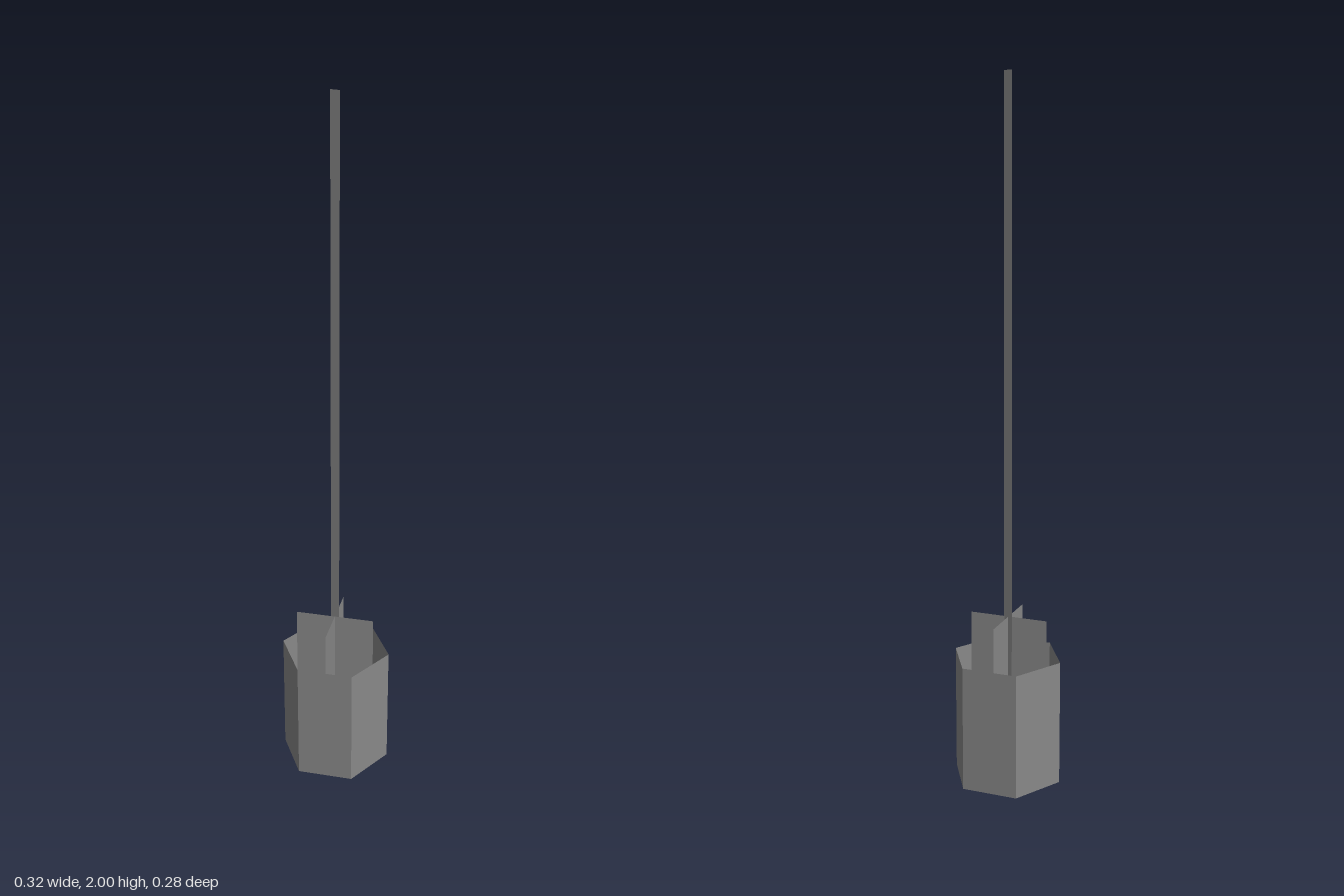
import * as THREE from 'three';

export function createModel() {
  const group = new THREE.Group();
  const material = new THREE.MeshStandardMaterial({
    color: 0x888888, flatShading: true, side: THREE.DoubleSide,
  });

  const add = (name, geometry, x, y, z, turn = 0) => {
    const mesh = new THREE.Mesh(geometry, material);
    mesh.name = name;
    mesh.position.set(x, y, z);
    mesh.rotation.y = turn;
    group.add(mesh);
  };

  // open six-sided sleeve with corners on the x axis
  const sleeveHeight = 0.367;
  add('sleeve', new THREE.CylinderGeometry(0.162, 0.162, sleeveHeight, 6, 1, true),
    0, sleeveHeight / 2, 0, Math.PI / 6);

  // two crossed upright fins standing inside the sleeve
  const finBottom = 0.105, finTop = 0.482, finZ = 0.01;
  for (const [name, turn] of [['crossFin', 0], ['lengthFin', Math.PI / 2]]) {
    add(name, new THREE.PlaneGeometry(0.232, finTop - finBottom),
      0, (finTop + finBottom) / 2, finZ, turn);
  }

  // tall flat strip rising from the fins, turned slightly about its length
  add('strip', new THREE.PlaneGeometry(0.028, 2 - finBottom),
    0, (2 + finBottom) / 2, 0.006, -0.3);

  return group;
}
